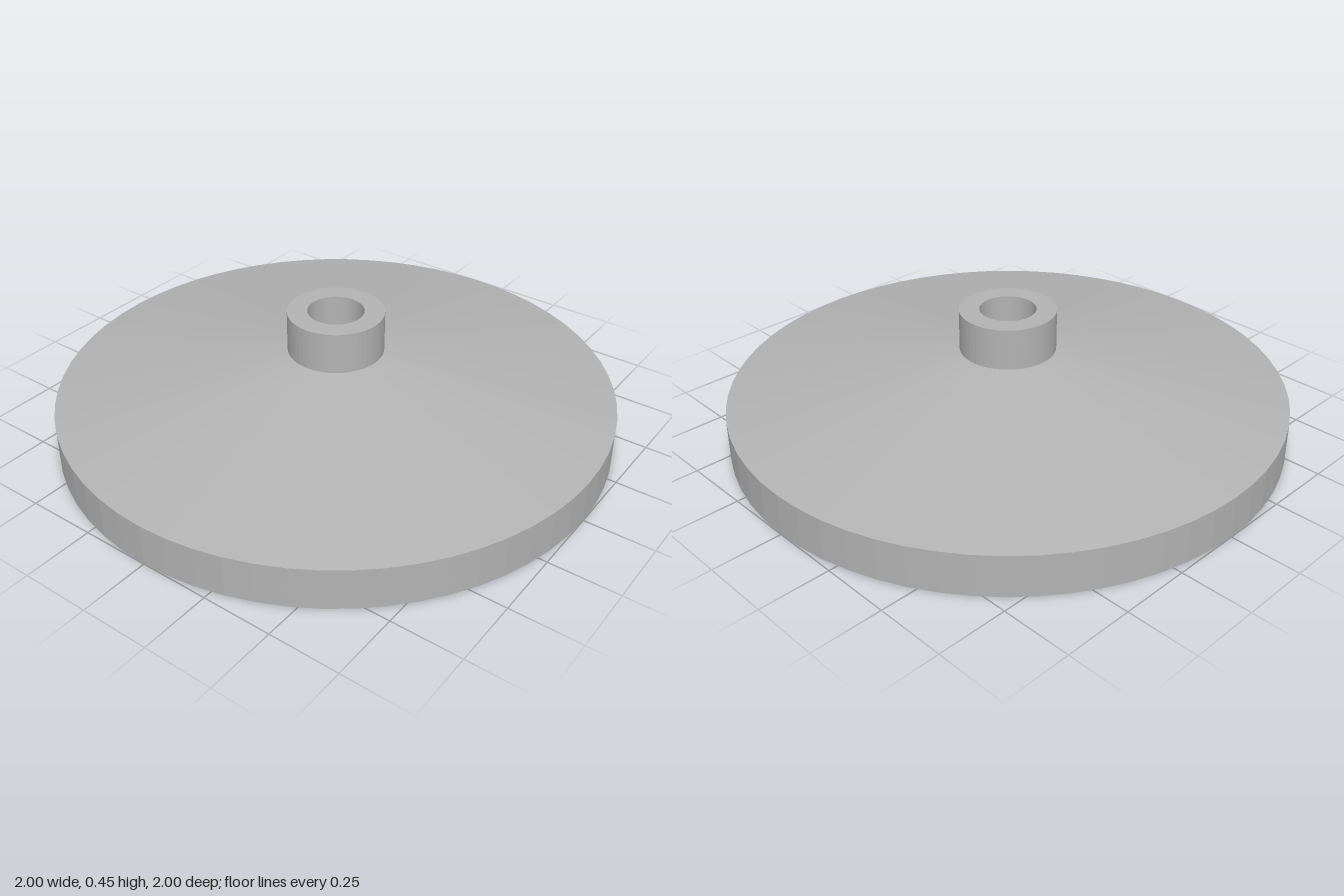
import * as THREE from 'three';

const SEGMENTS = 64;

// Revolve a radius/height profile into faceted rings with crisp edges
function revolve(name, profile, material) {
  const points = profile.map(([r, y]) => new THREE.Vector2(r, y));
  const geometry = new THREE.LatheGeometry(points, SEGMENTS).toNonIndexed();
  geometry.computeVertexNormals();
  const mesh = new THREE.Mesh(geometry, material);
  mesh.name = name;
  return mesh;
}

export function createModel() {
  const grey = new THREE.MeshStandardMaterial({ color: 0xb3b3b3 });
  grey.name = 'plain grey';

  const bore = 0.1, hub = 0.172, floor = 0.1, recess = 0.926, fillet = 0.075;

  // Rounded corner between the recess floor and the rim's inner wall
  const corner = [];
  const steps = 10;
  for (let i = 0; i <= steps; i++) {
    const a = (i / steps) * Math.PI / 2;
    corner.push([
      recess - fillet + fillet * Math.sin(a),
      floor - fillet + fillet * Math.cos(a),
    ]);
  }

  const model = new THREE.Group();
  model.name = 'flangedDisc';

  // Hollow underside, upright rim and shallow conical top
  model.add(revolve('coneDisc', [
    [bore, floor], ...corner, [recess, 0], [1, 0], [1, 0.15], [hub, 0.3],
  ], grey));

  // Collar with the bore running through to the recess
  model.add(revolve('hubCollar', [
    [hub, 0.3], [hub, 0.45], [bore, 0.45], [bore, floor],
  ], grey));

  return model;
}
